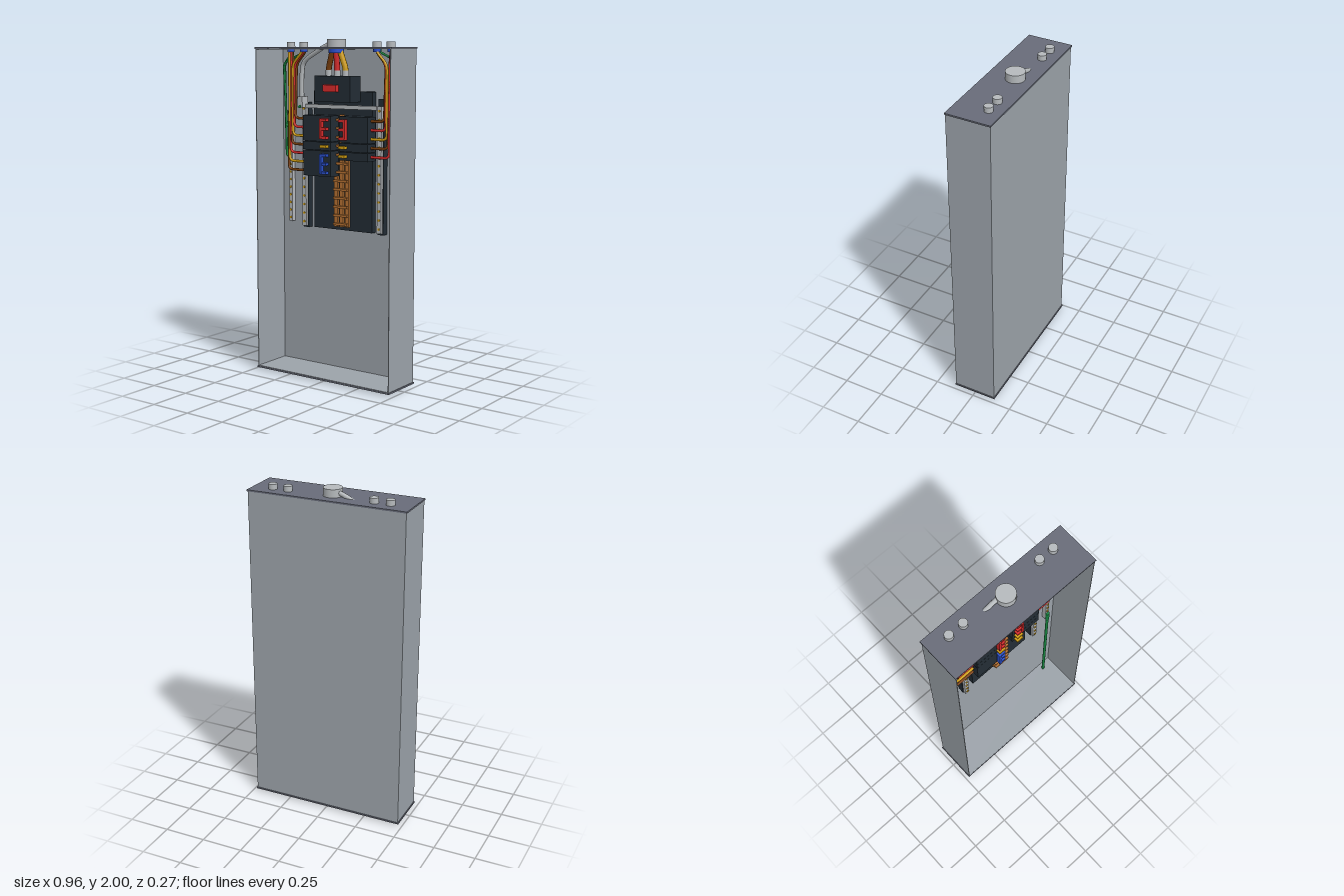
import * as THREE from 'three';

const mat = (name, color, side = THREE.FrontSide) => {
  const m = new THREE.MeshStandardMaterial({ color, side });
  m.name = name;
  return m;
};

export function createModel() {
  const wall = mat('wall grey', 0x9ca3aa);
  const plate = mat('end plate slate', 0x686c79);
  const metal = mat('light metal', 0xb6babd);
  const dark = mat('breaker charcoal', 0x232d35);
  const copper = mat('copper', 0xb87333);
  const red = mat('red', 0xd92b2b);
  const blue = mat('blue', 0x2a50cc);
  const yellow = mat('yellow', 0xd4a012);
  const green = mat('green', 0x15803d);
  const brown = mat('brown', 0x7a3f0c);
  const phases = [brown, red, yellow];

  const root = new THREE.Group();
  root.name = 'electricalPanel';
  const group = (name) => {
    const g = new THREE.Group();
    g.name = name;
    root.add(g);
    return g;
  };
  const add = (parent, name, geo, material) => {
    const m = new THREE.Mesh(geo, material);
    m.name = name;
    parent.add(m);
    return m;
  };
  // box given by its limits on each axis
  const box = (p, name, material, x0, x1, y0, y1, z0, z1) => {
    const m = add(p, name, new THREE.BoxGeometry(x1 - x0, y1 - y0, z1 - z0), material);
    m.position.set((x0 + x1) / 2, (y0 + y1) / 2, (z0 + z1) / 2);
    return m;
  };
  const cyl = (p, name, material, r, x, y0, y1, z) => {
    const m = add(p, name, new THREE.CylinderGeometry(r, r, y1 - y0, 32), material);
    m.position.set(x, (y0 + y1) / 2, z);
    return m;
  };
  // wire along points, with rounded bends
  const wire = (p, name, material, r, pts, bend = 0.03) => {
    const v = pts.map((a) => new THREE.Vector3(...a));
    const path = new THREE.CurvePath();
    let from = v[0];
    for (let i = 1; i < v.length - 1; i++) {
      const toward = (q) => {
        const d = q.clone().sub(v[i]);
        return v[i].clone().addScaledVector(d.clone().normalize(), Math.min(bend, d.length() * 0.45));
      };
      const a = toward(v[i - 1]);
      const b = toward(v[i + 1]);
      path.add(new THREE.LineCurve3(from, a));
      path.add(new THREE.QuadraticBezierCurve3(a, v[i], b));
      from = b;
    }
    path.add(new THREE.LineCurve3(from, v[v.length - 1]));
    return add(p, name, new THREE.TubeGeometry(path, 64, r, 8), material);
  };

  // enclosure, open at the front
  const cab = group('enclosure');
  box(cab, 'backWall', wall, -0.475, 0.475, 0.02, 1.945, -0.132, -0.128);
  box(cab, 'rightWall', wall, -0.475, -0.471, 0.02, 1.945, -0.128, 0.13);
  box(cab, 'leftWall', wall, 0.471, 0.475, 0.02, 1.945, -0.128, 0.13);
  box(cab, 'floor', wall, -0.471, 0.471, 0.022, 0.025, -0.128, 0.13);
  box(cab, 'ceiling', wall, -0.471, 0.471, 1.942, 1.945, -0.128, 0.13);
  box(cab, 'bottomPlate', plate, -0.48, 0.48, 0.013, 0.022, -0.137, 0.133);
  box(cab, 'topPlate', plate, -0.48, 0.48, 1.945, 1.954, -0.137, 0.133);

  // conduit hubs with blue bushings
  const hubs = group('conduitHubs');
  cyl(hubs, 'mainHub', metal, 0.055, 0, 1.945, 2, -0.027);
  cyl(hubs, 'mainBushing', blue, 0.044, 0, 1.92, 1.945, -0.027);
  for (const x of [-0.355, -0.26, 0.26, 0.355]) {
    cyl(hubs, 'hub', metal, 0.025, x, 1.945, 1.985, -0.058);
    cyl(hubs, 'bushing', blue, 0.021, x, 1.927, 1.945, -0.058);
  }

  // mounting pan and main breaker
  const core = group('panelCore');
  box(core, 'mountingPan', dark, -0.21, 0.21, 0.88, 1.7, -0.128, -0.092);
  box(core, 'mainBreaker', dark, -0.125, 0.125, 1.64, 1.79, -0.092, 0.015);
  box(core, 'mainHandle', red, -0.045, 0.045, 1.7, 1.74, 0.015, 0.045);
  phases.forEach((m, i) => {
    const x = (i - 1) * 0.06;
    cyl(core, 'mainLug', metal, 0.019, x, 1.79, 1.822, -0.035);
    wire(core, 'mainFeeder', m, 0.017,
      [[x * 0.4, 1.945, -0.027], [x * 0.5, 1.925, -0.027], [x, 1.835, -0.035], [x, 1.8, -0.035]]);
  });

  // copper bus bars and stabs
  const bus = group('busBars');
  const tops = [1.2, 1.565, 1.3];
  tops.forEach((top, i) => {
    const x = (i - 1) * 0.04;
    box(bus, 'busBar', copper, x - 0.012, x + 0.012, 0.9, top, -0.092, -0.077);
  });
  const pitch = 0.0515;
  for (let i = 0; i < 13; i++) {
    const y = 1.535 - i * pitch;
    const w = y > 1.29 ? 0.027 : 0.05;
    box(bus, 'stab', copper, y < 1.2 ? -w : -0.027, w, y - 0.007, y + 0.007, -0.09, -0.062);
  }

  // branch breakers, listed from the top as [poles, colour]
  const rows = group('branchBreakers');
  const bank = (s, list) => {
    let y = 1.56;
    const span = (name, m, a, b, y0, y1, z0, z1) =>
      box(rows, name, m, Math.min(s * a, s * b), Math.max(s * a, s * b), y0, y1, z0, z1);
    for (const [poles, m] of list) {
      const h = poles * pitch;
      span('breaker', dark, 0.03, 0.23, y - h + 0.0015, y - 0.0015, -0.092, -0.01);
      for (let i = 0; i < poles; i++) {
        const c = y - (i + 0.5) * pitch;
        span('toggle', m, 0.045, 0.088, c - 0.008, c + 0.008, -0.01, 0.018);
      }
      if (poles > 1) span('handleTie', m, 0.076, 0.09, y - h + 0.018, y - 0.018, -0.005, 0.02);
      y -= h;
    }
  };
  bank(-1, [[3, red], [1, yellow], [3, blue]]);
  bank(1, [[3, red], [1, yellow], [1, yellow]]);

  // terminal bars with rows of screws
  const bars = group('terminalBars');
  const bar = (name, x, w, y0, y1, z0, z1, n) => {
    box(bars, name, metal, x - w, x + w, y0, y1, z0, z1);
    for (let i = 0; i < n; i++) {
      const s = add(bars, 'screw', new THREE.CylinderGeometry(0.007, 0.007, 0.006, 10), yellow);
      s.rotation.x = Math.PI / 2;
      s.position.set(x, y0 + (i + 0.5) * (y1 - y0) / n, z1 + 0.002);
    }
  };
  for (const s of [-1, 1]) {
    box(bars, 'neutralBacking', dark, s * 0.27 - 0.019, s * 0.27 + 0.019, 0.875, s < 0 ? 1.63 : 1.66, -0.128, -0.09);
    bar('neutralBar', s * 0.27, 0.014, 0.885, 1.62, -0.09, -0.072, 14);
    bar('groundBar', s * 0.395, 0.012, 0.9, 1.555, -0.128, -0.1, 14);
  }
  box(bars, 'neutralCrossbar', metal, -0.255, 0.255, 1.597, 1.62, -0.08, -0.066);
  box(bars, 'neutralLug', metal, -0.291, -0.255, 1.6, 1.665, -0.09, -0.035);
  const screw = add(bars, 'lugScrew', new THREE.CylinderGeometry(0.009, 0.009, 0.006, 12), green);
  screw.rotation.x = Math.PI / 2;
  screw.position.set(-0.273, 1.605, -0.033);

  // neutral feeder sweeping from the main hub to its lug
  wire(bars, 'neutralFeeder', metal, 0.014, [[-0.03, 1.982, -0.04], [-0.1, 1.958, -0.045],
    [-0.26, 1.875, -0.055], [-0.275, 1.8, -0.058], [-0.275, 1.65, -0.058]], 0.06);

  // branch wires: upper three from the inner hub, the rest from the outer
  const wires = group('branchWires');
  const branch = (s, count) => {
    for (let i = 0; i < count; i++) {
      const y = 1.535 - i * pitch;
      const x = 0.318 + i * 0.0085;
      const k = i % 3;
      const hub = (i < 3 ? 0.255 : 0.35) + k * 0.006;
      const z = -0.064 + k * 0.008;
      wire(wires, 'branchWire', phases[k], 0.008, [[s * hub, 1.945, z], [s * hub, 1.925, z],
        [s * x, 1.855, z], [s * x, y, -0.05], [s * 0.22, y, -0.05]]);
    }
    // ground wires to the ground bar
    [[0.27, 1.48], [0.365, 1.3]].forEach(([hub, y], i) => {
      const z = -0.075 - i * 0.01;
      wire(wires, 'groundWire', green, 0.007, [[s * hub, 1.945, z], [s * hub, 1.925, z],
        [s * 0.424, 1.86, z], [s * 0.424, y, -0.1], [s * 0.395, y, -0.1]], 0.025);
    });
  };
  branch(-1, 7);
  branch(1, 5);

  // main grounding conductor through the floor
  const earth = group('groundingConductor');
  cyl(earth, 'conductor', green, 0.009, 0.395, 0, 0.985, -0.095);
  cyl(earth, 'conductorEnd', green, 0.012, 0.395, 0.9, 0.985, -0.095);

  return root;
}
